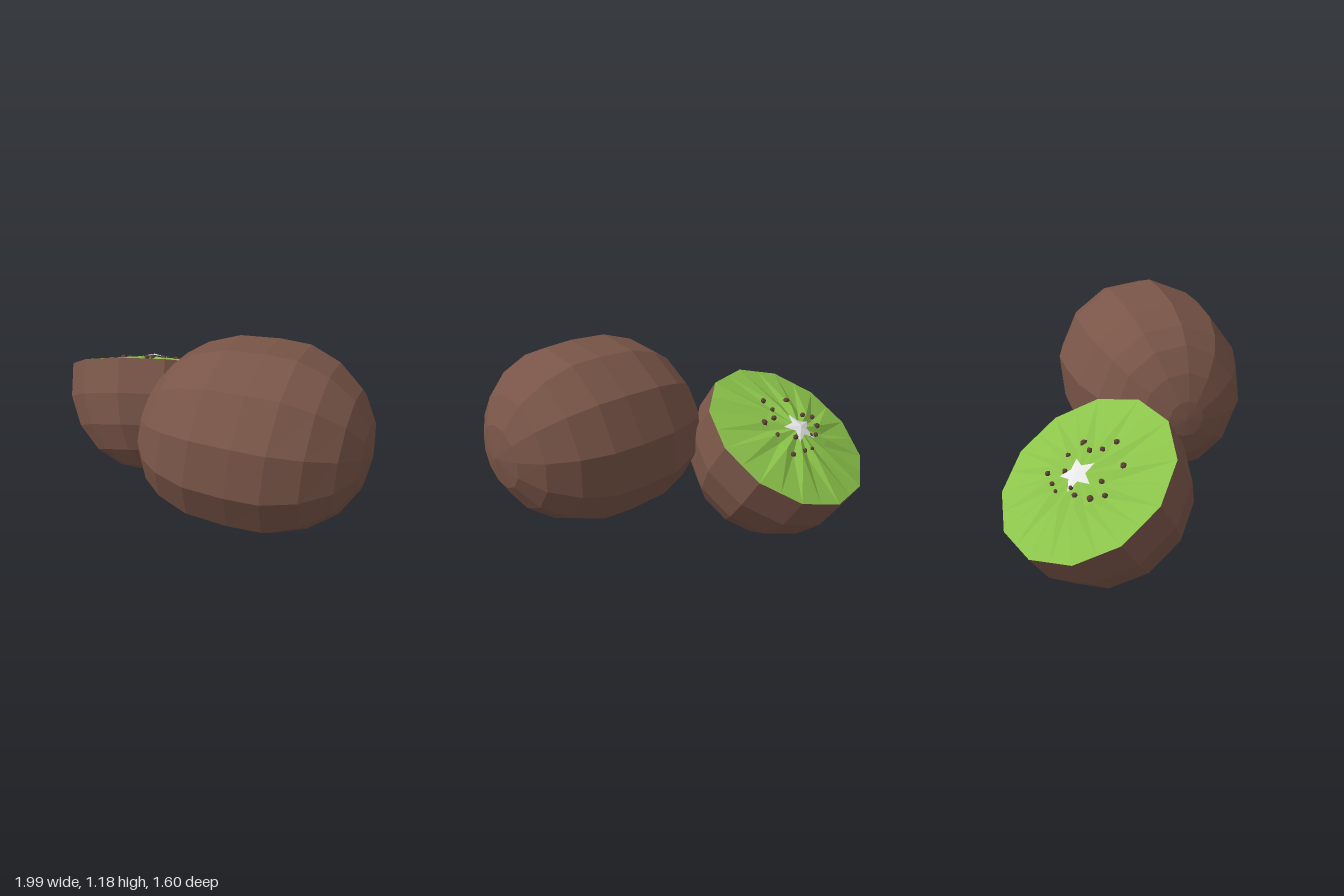
import * as THREE from 'three';

const SIDES = 12;

export function createModel() {
  const mat = (name, color) => {
    const m = new THREE.MeshStandardMaterial({ color, flatShading: true });
    m.name = name;
    return m;
  };
  const skinBrown = mat('skin brown', 0x795548);
  const fleshGreen = mat('flesh green', 0x8bc34a);
  const coreWhite = mat('core white', 0xf5f5f5);
  const seedBrown = mat('seed brown', 0x5d4037);

  const add = (parent, name, geometry, material) => {
    const mesh = new THREE.Mesh(geometry, material);
    mesh.name = name;
    parent.add(mesh);
    return mesh;
  };

  // Faceted skin from a profile of [radius, height] pairs, lower pole first
  const skin = (profile, phase) =>
    new THREE.LatheGeometry(profile.map(([r, y]) => new THREE.Vector2(r, y)), SIDES, phase);

  // Upward facing disc made from rings; rings are functions of the spoke number
  const disc = (spokes, apex, rings) => {
    const pos = [];
    const tri = (...pts) => pts.forEach((p) => pos.push(p.x, p.y, p.z));
    for (let k = 0; k < spokes; k++) {
      const n = (k + 1) % spokes;
      tri(apex, rings[0](k), rings[0](n));
      for (let r = 1; r < rings.length; r++) {
        const [a, b, c, d] = [rings[r - 1](k), rings[r](k), rings[r](n), rings[r - 1](n)];
        tri(a, b, c);
        tri(a, c, d);
      }
    }
    const g = new THREE.BufferGeometry();
    g.setAttribute('position', new THREE.Float32BufferAttribute(pos, 3));
    g.computeVertexNormals();
    return g;
  };
  const polar = (k, spokes, r, y, cx = 0, cz = 0) => {
    const a = (k / spokes) * Math.PI * 2;
    return new THREE.Vector3(cx + r * Math.sin(a), y, cz + r * Math.cos(a));
  };

  const model = new THREE.Group();
  model.name = 'kiwis';

  // Whole fruit, lying along x, blunter at its right end
  const whole = new THREE.Group();
  whole.name = 'wholeFruit';
  whole.position.set(0.38, 0.663, 0.288);
  const wholeShape = skin([
    [0, -0.62], [0.1, -0.612], [0.24, -0.56], [0.36, -0.475], [0.435, -0.37], [0.495, -0.2],
    [0.51, 0.02], [0.503, 0.195], [0.438, 0.365], [0.325, 0.505], [0.178, 0.59], [0, 0.62],
  ], Math.PI / 18);
  // Lean the rings a little, more toward the right end
  const p = wholeShape.attributes.position;
  for (let i = 0; i < p.count; i++) {
    p.setY(i, p.getY(i) - p.getX(i) * (0.09 - 0.1 * p.getY(i)));
  }
  wholeShape.computeVertexNormals();
  add(whole, 'wholeSkin', wholeShape, skinBrown).rotation.z = -Math.PI / 2;
  model.add(whole);

  // Half fruit, its cut face tipped up and backward
  const half = new THREE.Group();
  half.name = 'halfFruit';
  half.position.set(-0.495, 0.592, -0.37);
  half.quaternion.setFromUnitVectors(
    new THREE.Vector3(0, 1, 0),
    new THREE.Vector3(-0.18, 1, -0.6).normalize()
  );
  add(half, 'halfSkin', skin([
    [0, -0.63], [0.178, -0.6], [0.325, -0.515], [0.44, -0.375], [0.503, -0.2], [0.506, 0],
  ], 0), skinBrown);

  // Pleated flesh, domed toward the core
  const cx = -0.025, cz = -0.02, spokes = SIDES * 2;
  const flatMid = Math.cos(Math.PI / SIDES);
  const flesh = disc(spokes, new THREE.Vector3(cx, 0.075, cz), [
    (k) => polar(k, spokes, 0.19, k % 2 ? 0.034 : 0.054, cx, cz),
    (k) => polar(k, spokes, 0.506 * (k % 2 ? flatMid : 1), 0),
  ]);
  add(half, 'flesh', flesh, fleshGreen);

  // Star shaped core
  const core = disc(10, new THREE.Vector3(cx, 0.095, cz), [
    (k) => polar(k, 10, k % 2 ? 0.05 : 0.105, k % 2 ? 0.08 : 0.07, cx, cz),
  ]);
  add(half, 'core', core, coreWhite);

  // Seeds scattered around the core: [x, z, radius], offset from it
  const seeds = [
    [-0.17, 0, 0.018], [-0.1, -0.06, 0.014], [-0.05, -0.06, 0.012], [0, -0.14, 0.011],
    [0.06, -0.14, 0.013], [0.15, -0.14, 0.014], [0.07, -0.05, 0.015], [0.17, 0, 0.014],
    [0.19, 0.1, 0.018], [0.11, 0.11, 0.015], [0.07, 0.17, 0.014], [0.07, 0.25, 0.015],
    [-0.1, 0.22, 0.018], [-0.12, 0.09, 0.015], [-0.2, 0.07, 0.014],
  ];
  const seedShape = new THREE.SphereGeometry(1, 6, 4);
  seeds.forEach(([x, z, s], i) => {
    const seed = add(half, 'seed', seedShape, seedBrown);
    seed.position.set(cx + x, 0.085 * (1 - Math.hypot(x, z) / 0.48), cz + z);
    seed.scale.set(s * 1.15, s, s);
    seed.rotation.y = i;
  });
  model.add(half);

  return model;
}
